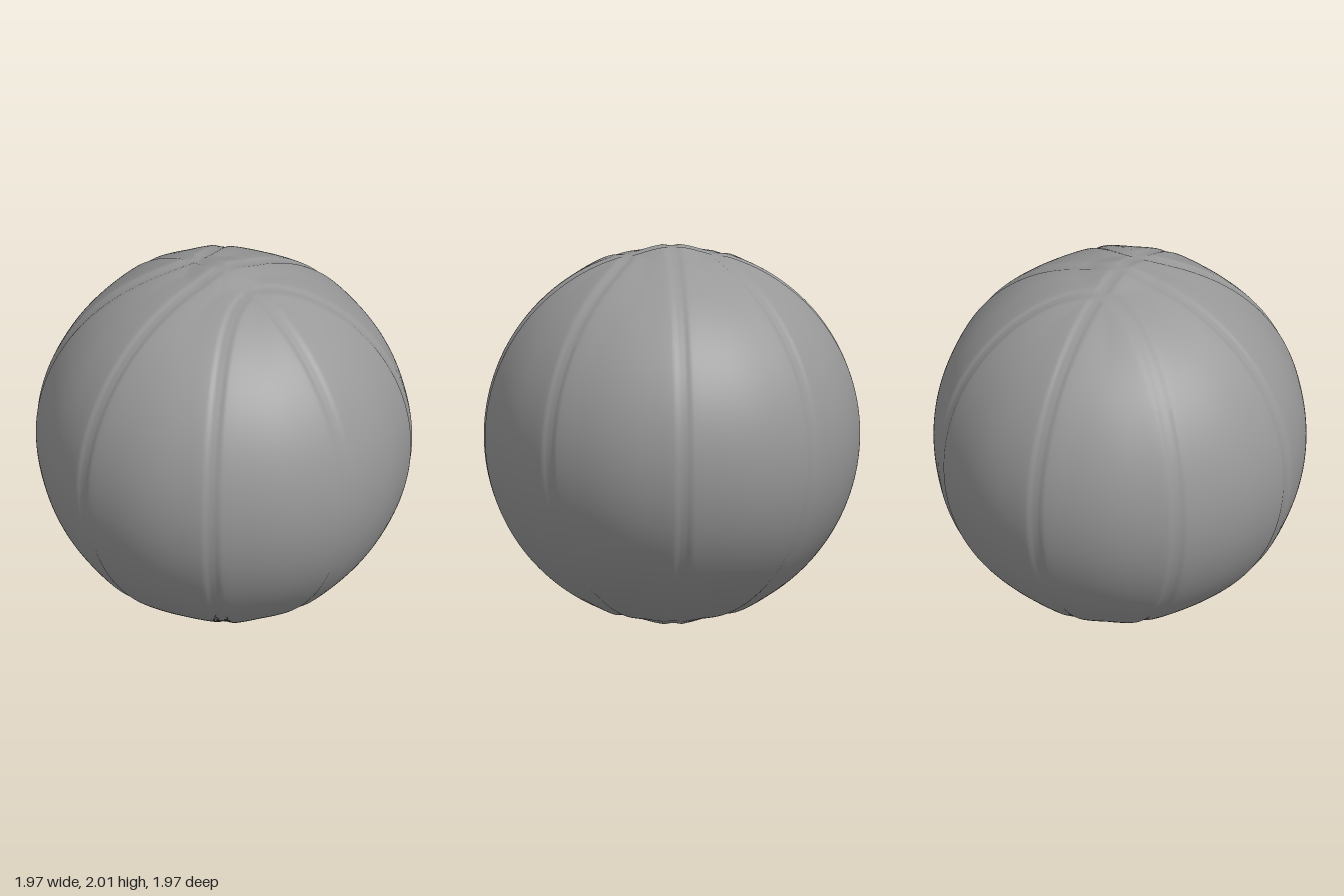
import * as THREE from 'three';
import { mergeVertices } from 'three/addons/utils/BufferGeometryUtils.js';

const CURVE = 0.059; // how far the curved seams stay from the poles
const { smoothstep } = THREE.MathUtils;

// Signed distance to the curved seams z^2 = x^2 + CURVE * y^2, positive in the front and back panels
function curvedSeam(p) {
  const f = p.z * p.z - p.x * p.x - CURVE * p.y * p.y;
  const slope = new THREE.Vector3(-2 * p.x, -2 * CURVE * p.y, 2 * p.z);
  slope.addScaledVector(p, -slope.dot(p));
  return f / Math.max(slope.length(), 0.05);
}

// Radius of the ball along unit direction p
function radiusAt(p) {
  const curved = curvedSeam(p);
  const d = Math.min(Math.abs(p.x), Math.abs(p.z), Math.abs(curved));
  // flattened panels that rise towards their edges
  const panel = 0.977 + 0.01 * Math.exp(-((d / 0.13) ** 2));
  // shallow seam channel
  const groove = 0.008 * (1 - smoothstep(d, 0.018, 0.045));
  // front and back panels stand a little prouder near the poles
  const shoulder = 0.008 * p.y * p.y * smoothstep(curved, -0.03, 0.03);
  // gentle swelling where the straight seams cross
  const pole = 0.021 * (1 - smoothstep(Math.hypot(p.x, p.z), 0.03, 0.22));
  return panel - groove + shoulder + pole;
}

export function createModel() {
  const group = new THREE.Group();
  group.name = 'ball';

  // Even sphere grid made from a subdivided cube
  const n = 108;
  let geometry = new THREE.BoxGeometry(2, 2, 2, n, n, n);
  geometry.deleteAttribute('uv');
  geometry.deleteAttribute('normal');
  geometry.clearGroups();
  geometry = mergeVertices(geometry, 1e-4);

  const pos = geometry.attributes.position;
  const p = new THREE.Vector3();
  const even = (v) => Math.tan((v * Math.PI) / 4);
  for (let i = 0; i < pos.count; i++) {
    p.fromBufferAttribute(pos, i);
    p.set(even(p.x), even(p.y), even(p.z)).normalize();
    p.multiplyScalar(radiusAt(p));
    pos.setXYZ(i, p.x, p.y + 1, p.z);
  }
  geometry.computeVertexNormals();

  const ball = new THREE.Mesh(geometry, new THREE.MeshStandardMaterial({ color: 0x999999 }));
  ball.name = 'seamedBall';
  group.add(ball);
  return group;
}
